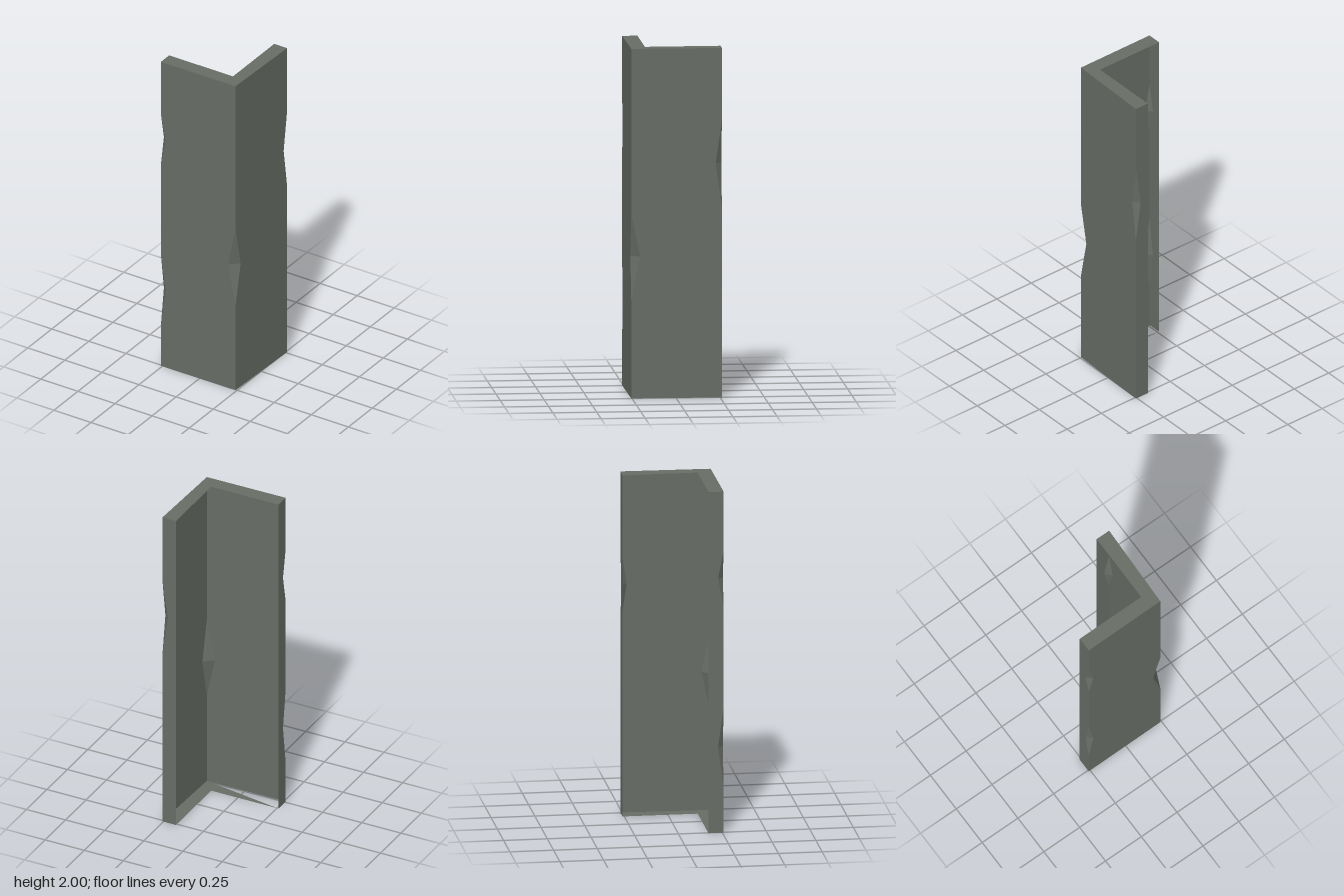
import * as THREE from 'three';

const HEIGHT = 2;
// Plan corners of the L-shaped shell as [x, z]
const leftInner = [-0.26, 0.17], leftOuter = [-0.26, 0.257], corner = [0.242, 0.254];
const backOuter = [0.257, -0.26], backInner = [0.17, -0.26], innerCorner = [0.17, 0.17];

// Chips in the outer edges: bottom, deepest point and top heights
const leftChips = [[0.26, 0.5, 0.74], [1.32, 1.49, 1.66]];
const cornerChips = [[0.56, 0.81, 1.06]];
const backChips = [[1.09, 1.34, 1.59]];

// Depth of a chipped edge at height y
function chipDepth(chips, y, depth) {
  for (const [low, mid, high] of chips) {
    if (y > low && y < high) return depth * (y < mid ? (y - low) / (mid - low) : (high - y) / (high - mid));
  }
  return 0;
}

// Point a given distance from one plan corner towards another
function towards(from, to, distance) {
  const a = new THREE.Vector2(...from), b = new THREE.Vector2(...to);
  const p = a.clone().add(b.sub(a).setLength(distance));
  return [p.x, p.y];
}

// Horizontal outline of the shell, with each chipped edge as two points
function outline(y) {
  const l = chipDepth(leftChips, y, 0.032);
  const c = chipDepth(cornerChips, y, 0.051);
  const b = chipDepth(backChips, y, 0.035);
  return [
    leftInner,
    towards(leftOuter, leftInner, l), towards(leftOuter, corner, l),
    towards(corner, leftOuter, c), towards(corner, backOuter, c),
    towards(backOuter, corner, b), towards(backOuter, backInner, b),
    backInner,
  ].map(([x, z]) => new THREE.Vector3(x, y, z));
}

// Flat-faced mesh from triangles, leaving out collapsed ones
function faces(name, triangles, material) {
  const points = triangles.filter(([a, b, c]) => new THREE.Triangle(a, b, c).getArea() > 1e-7).flat();
  const geometry = new THREE.BufferGeometry().setFromPoints(points);
  geometry.computeVertexNormals();
  const mesh = new THREE.Mesh(geometry, material);
  mesh.name = name;
  return mesh;
}

export function createModel() {
  const group = new THREE.Group();
  group.name = 'cornerTrim';
  const stone = new THREE.MeshStandardMaterial({ color: 0x686d66, side: THREE.DoubleSide });
  stone.name = 'greyStone';

  // Upright walls, end strips and chip facets, open on the inner side
  const levels = [0, HEIGHT, ...[leftChips, cornerChips, backChips].flat(2)].sort((a, b) => a - b);
  const rings = levels.map(outline);
  const names = ['leftEnd', 'leftEdgeChips', 'frontWall', 'cornerChip', 'sideWall', 'backEdgeChip', 'backEnd'];
  names.forEach((name, i) => {
    const triangles = [];
    for (let k = 0; k < rings.length - 1; k++) {
      const [a, b] = [rings[k][i], rings[k][i + 1]];
      const [d, c] = [rings[k + 1][i], rings[k + 1][i + 1]];
      triangles.push([a, b, c], [a, c, d]);
    }
    group.add(faces(name, triangles, stone));
  });

  // Top rim, and bottom rim with its open triangle at the left
  const tri = (y, ...plan) => plan.map(([x, z]) => new THREE.Vector3(x, y, z));
  group.add(faces('topRim', [
    tri(HEIGHT, leftInner, leftOuter, corner), tri(HEIGHT, leftInner, corner, innerCorner),
    tri(HEIGHT, innerCorner, corner, backOuter), tri(HEIGHT, innerCorner, backOuter, backInner),
  ], stone));
  group.add(faces('bottomRim', [
    tri(0, leftInner, innerCorner, corner),
    tri(0, innerCorner, backOuter, corner), tri(0, innerCorner, backInner, backOuter),
  ], stone));

  return group;
}
